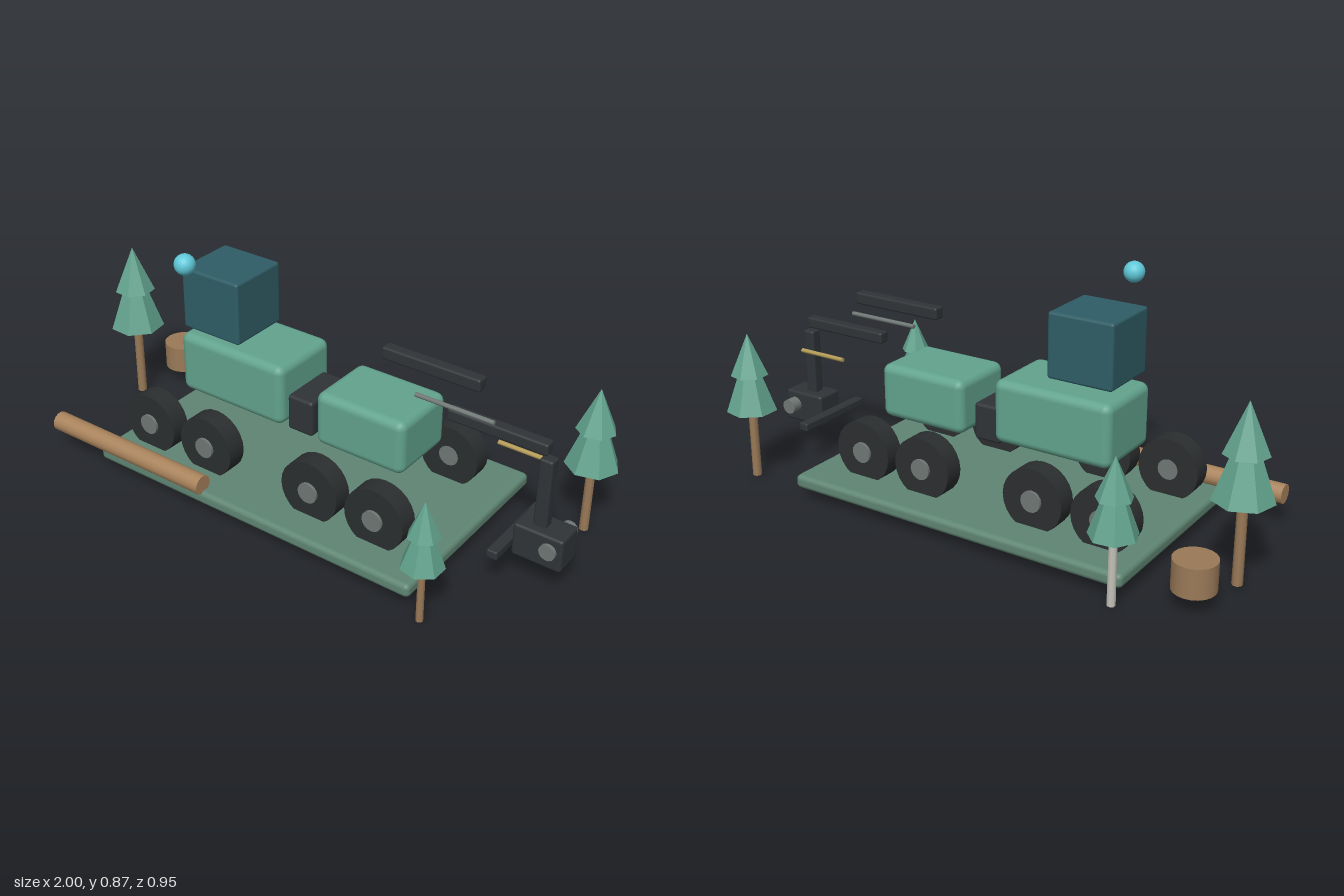
import * as THREE from 'three';
import { RoundedBoxGeometry } from 'three/addons/geometries/RoundedBoxGeometry.js';

const mat = (color, flatShading = false) => new THREE.MeshStandardMaterial({ color, flatShading });

export function createModel() {
  const model = new THREE.Group();
  const green = mat(0x62a38d), baseGreen = mat(0x5f8573), glass = mat(0x2f5d66);
  const black = mat(0x303437), tyre = mat(0x2b2e2f), steel = mat(0x6f7775);
  const bark = mat(0x9a7a58), wood = mat(0xa9835c), birch = mat(0xc4c4ba);
  const leaf = mat(0x62a38d, true), brass = mat(0xb39a55), cyan = mat(0x5fc8d8);

  const add = (name, geometry, material, x, y, z, parent = model) => {
    const mesh = new THREE.Mesh(geometry, material);
    mesh.name = name;
    mesh.position.set(x, y, z);
    parent.add(mesh);
    return mesh;
  };

  // Rounded box given by its extents on each axis
  const box = (name, material, [x0, x1], [y0, y1], [z0, z1], r) =>
    add(name, new RoundedBoxGeometry(x1 - x0, y1 - y0, z1 - z0, 3, r), material,
      (x0 + x1) / 2, (y0 + y1) / 2, (z0 + z1) / 2);

  // Cylinder lying along x or z
  const rod = (name, material, axis, r, length, x, y, z, sides = 16) => {
    const g = new THREE.CylinderGeometry(r, r, length, sides);
    if (axis === 'x') g.rotateZ(Math.PI / 2);
    else g.rotateX(Math.PI / 2);
    return add(name, g, material, x, y, z);
  };

  // Ground plate
  box('groundPlate', baseGreen, [-0.65, 0.65], [0.042, 0.092], [-0.365, 0.4], 0.018);

  // Articulated chassis and cab
  box('rearBody', green, [-0.46, -0.02], [0.287, 0.51], [-0.118, 0.161], 0.03);
  box('frontBody', green, [0.11, 0.453], [0.272, 0.468], [-0.112, 0.15], 0.03);
  box('joint', black, [-0.025, 0.078], [0.265, 0.397], [-0.083, 0.12], 0.012);
  box('cab', glass, [-0.44, -0.2], [0.538, 0.764], [-0.072, 0.156], 0.01);
  add('beacon', new THREE.SphereGeometry(0.036, 24, 16), cyan, -0.335, 0.838, 0.25);

  // Wheels with hubs, four on each side
  for (const x of [-0.508, -0.254, 0.187, 0.44]) {
    for (const [z, out] of [[0.249, 1], [-0.205, -1]]) {
      rod('wheel', tyre, 'z', 0.111, 0.072, x, 0.184, z, 24);
      rod('hub', steel, 'z', 0.037, 0.084, x, 0.184, z + out * 0.004, 16);
    }
  }

  // Crane boom and harvesting head
  const armZ = [0.014, 0.057];
  box('upperBoom', black, [0.302, 0.66], [0.617, 0.661], armZ, 0.008);
  box('outerBoom', black, [0.55, 0.9], [0.483, 0.524], armZ, 0.008);
  box('headHanger', black, [0.876, 0.922], [0.22, 0.47], armZ, 0.008);
  rod('hydraulicRam', steel, 'x', 0.008, 0.28, 0.59, 0.551, 0.08, 10);
  rod('hose', brass, 'x', 0.008, 0.195, 0.79, 0.41, -0.033, 10);
  box('headBlock', black, [0.826, 0.997], [0.109, 0.228], [-0.018, 0.088], 0.01);
  box('gripBar', black, [0.79, 0.828], [0.139, 0.17], [-0.139, 0.183], 0.006);
  rod('feedRoller', steel, 'z', 0.028, 0.158, 0.952, 0.177, 0.021);

  // Cut logs laid end to end, and a stump
  for (let i = 0; i < 3; i++) {
    rod('log', wood, 'x', 0.035, 0.227, -0.747 + i * 0.227, 0.116, 0.388, 14);
  }
  add('stump', new THREE.CylinderGeometry(0.072, 0.072, 0.102, 20), bark, -0.842, 0.115, -0.263);

  // Two-tier conifers: position, trunk bottom, skirt height, tip height, skirt radius
  const trees = [
    [-0.903, -0.08, 0.01, 0.3, 0.62, 0.101, bark, 0.4],
    [0.702, 0.411, 0, 0.21, 0.443, 0.071, bark, 0.2],
    [0.898, -0.3, 0.005, 0.263, 0.548, 0.091, bark, 0.7],
    [-0.635, -0.394, 0.004, 0.239, 0.495, 0.08, birch, 1.0],
  ];
  for (const [x, z, foot, skirt, tip, r, trunkMat, turn] of trees) {
    const tree = new THREE.Group();
    tree.name = 'tree';
    tree.position.set(x, 0, z);
    tree.rotation.y = turn;
    model.add(tree);
    const h = tip - skirt, top = skirt + h * 0.2;
    add('trunk', new THREE.CylinderGeometry(r * 0.17, r * 0.18, top - foot, 8), trunkMat,
      0, (top + foot) / 2, 0, tree);
    add('lowerFoliage', new THREE.ConeGeometry(r, h * 0.87, 7), leaf, 0, skirt + h * 0.435, 0, tree);
    add('upperFoliage', new THREE.ConeGeometry(r * 0.74, h * 0.53, 7), leaf, 0, tip - h * 0.265, 0, tree);
  }

  return model;
}
